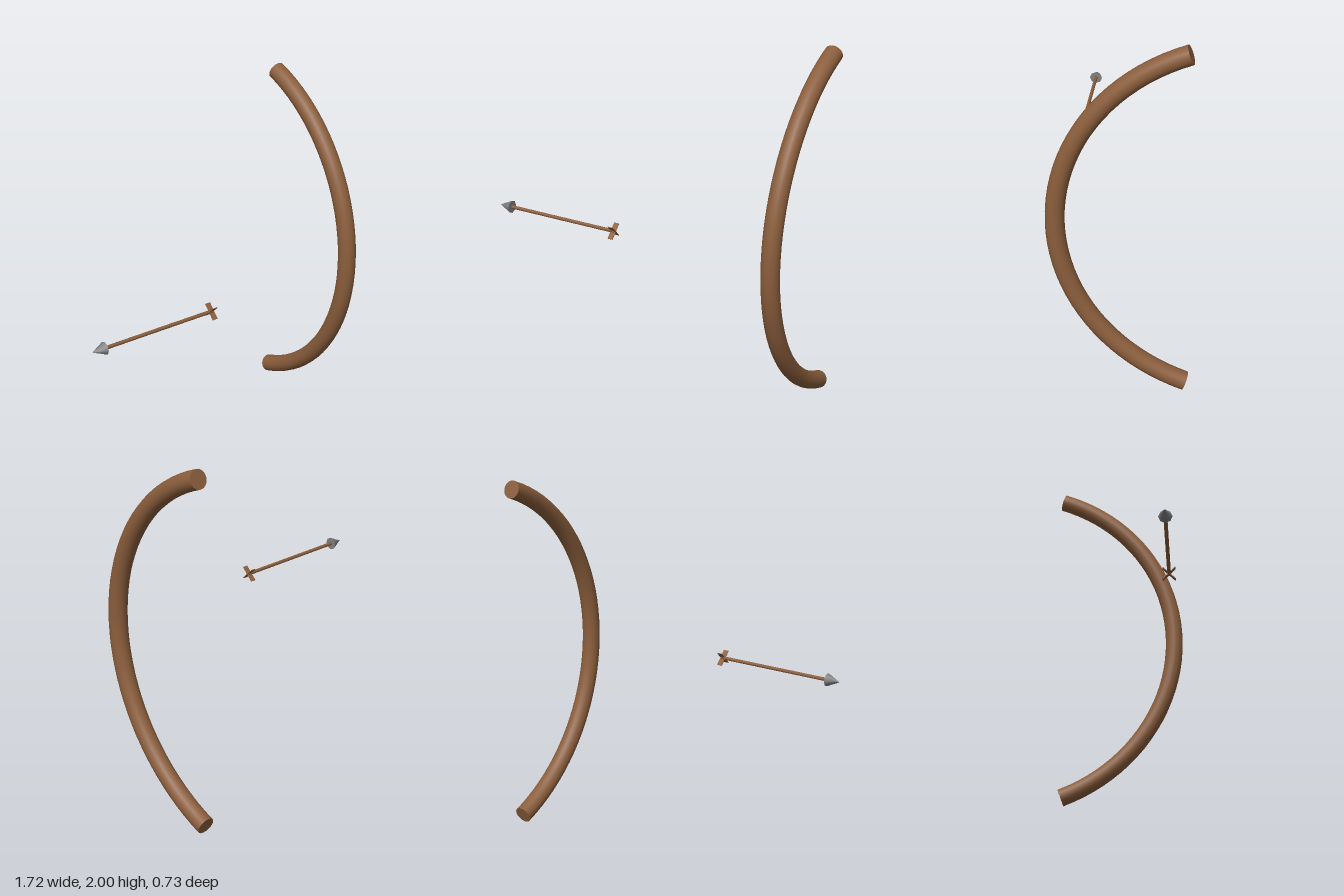
import * as THREE from 'three';

const wood = new THREE.MeshStandardMaterial({ color: 0x8b5e3c });
wood.name = 'brown wood';
const steel = new THREE.MeshStandardMaterial({ color: 0x808080 });
steel.name = 'grey steel';

function addMesh(parent, name, geometry, material) {
  const mesh = new THREE.Mesh(geometry, material);
  mesh.name = name;
  parent.add(mesh);
  return mesh;
}

// Curved bow limb: a torus arc standing in the yz plane, closed at both ends
function createBow() {
  const R = 1.014, r = 0.05, half = THREE.MathUtils.degToRad(70);
  const bow = new THREE.Group();
  bow.name = 'bow';
  const arc = new THREE.TorusGeometry(R, r, 20, 40, half * 2).rotateZ(-half);
  addMesh(bow, 'bowLimb', arc, wood);
  for (const side of [1, -1]) {
    const cap = new THREE.CircleGeometry(r, 20)
      .rotateX(-side * Math.PI / 2)
      .translate(R, 0, 0)
      .rotateZ(side * half);
    addMesh(bow, side > 0 ? 'upperEnd' : 'lowerEnd', cap, wood);
  }
  bow.rotation.y = -Math.PI / 2;
  bow.position.set(0.812, 1, -0.698);
  return bow;
}

// Arrow pointing towards -x
function createArrow() {
  const arrow = new THREE.Group();
  arrow.name = 'arrow';
  const shaft = new THREE.CylinderGeometry(0.01, 0.01, 0.68, 8).rotateZ(Math.PI / 2);
  addMesh(arrow, 'shaft', shaft, wood).position.x = -0.455;
  const head = new THREE.ConeGeometry(0.036, 0.076, 8).rotateZ(Math.PI / 2);
  addMesh(arrow, 'arrowHead', head, steel).position.x = -0.824;
  // Two crossed vanes at the tail
  for (const side of [1, -1]) {
    const vane = addMesh(arrow, 'vane', new THREE.BoxGeometry(0.03, 0.096, 0.004), wood);
    vane.rotation.x = side * Math.PI / 4;
    vane.position.x = -0.123;
  }
  arrow.position.set(0, 1, 0.312);
  return arrow;
}

export function createModel() {
  const model = new THREE.Group();
  model.name = 'bowAndArrow';
  model.add(createBow(), createArrow());
  return model;
}
